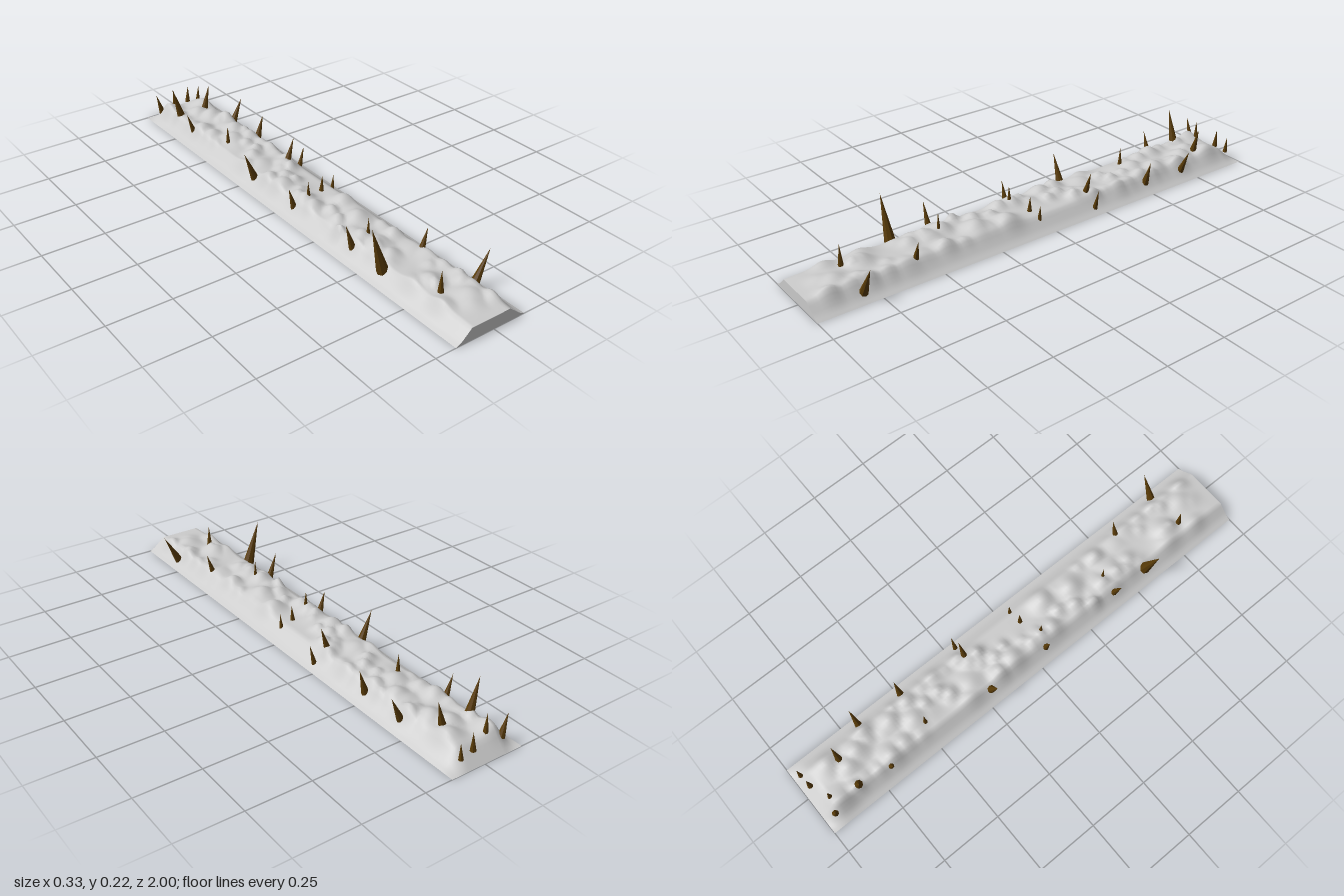
import * as THREE from 'three';

// Cross-section of the bank, from its right foot to its left foot
const profile = [[-0.165, 0], [-0.14, 0.013], [-0.1, 0.05], [0.07, 0.05], [0.115, 0.013], [0.14, 0]];

function profileHeight(x) {
  for (let i = 1; i < profile.length; i++) {
    const [x0, y0] = profile[i - 1], [x1, y1] = profile[i];
    if (x <= x1 + 1e-6) return y0 + (y1 - y0) * (x - x0) / (x1 - x0);
  }
  return 0;
}

function seeded(seed) {
  return () => (seed = (seed * 16807) % 2147483647) / 2147483647;
}

// Rounded lumps of earth scattered along the crest
function makeLumps() {
  const rand = seeded(41), lumps = [], count = 75;
  for (let i = 0; i < count; i++) {
    lumps.push({
      x: -0.1 + 0.175 * rand(), z: -0.92 + 1.86 * (i + rand()) / count,
      r: 0.025 + 0.025 * rand(), h: 0.01 + 0.025 * rand(),
    });
  }
  return lumps;
}

function moundGeometry() {
  const lumps = makeLumps();
  const geo = new THREE.PlaneGeometry(0.305, 2, 28, 150).rotateX(-Math.PI / 2).translate(-0.0125, 0, 0);
  const p = geo.attributes.position;
  for (let i = 0; i < p.count; i++) {
    const x = p.getX(i), z = p.getZ(i);
    const base = profileHeight(x);
    let bump = 0;
    for (const l of lumps) {
      const d = ((x - l.x) ** 2 + (z - l.z) ** 2) / (l.r * l.r);
      bump = Math.max(bump, l.h * Math.exp(-d));
    }
    // The back end slopes down to the ground, the front end is cut off straight
    const slope = Math.min(1, (z + 1) / 0.06);
    const fade = Math.min(1, (1 - z) / 0.05) * Math.min(1, base / 0.05);
    p.setY(i, slope * (base + (bump + 0.003) * fade));
  }
  geo.computeVertexNormals();
  return geo;
}

// Single spikes: base x, tip x, tip y, z, base radius
const singles = [
  [-0.085, -0.125, 0.195, -0.825, 0.02],
  [0.025, 0.055, 0.163, -0.825, 0.017],
  [-0.105, -0.135, 0.13, -0.69, 0.013],
  [0.09, 0.137, 0.132, -0.69, 0.016],
  [-0.06, -0.06, 0.135, -0.49, 0.011],
  [0.088, 0.118, 0.132, -0.495, 0.016],
  [-0.11, -0.156, 0.155, -0.215, 0.017],
  [0.042, 0.078, 0.155, -0.215, 0.016],
  [0.106, 0.128, 0.1, -0.215, 0.011],
  [-0.11, -0.145, 0.145, 0.41, 0.015],
  [-0.043, -0.042, 0.14, 0.41, 0.01],
  [-0.11, -0.165, 0.22, 0.575, 0.024],
  [0.062, 0.09, 0.135, 0.575, 0.014],
  [-0.056, -0.056, 0.14, 0.805, 0.013],
  [0.098, 0.163, 0.143, 0.805, 0.018],
];

// A row of four that occurs twice, with z measured from the row's centre
const row = [
  [-0.113, -0.137, 0.12, 0, 0.014],
  [-0.06, -0.062, 0.135, 0.02, 0.012],
  [0.024, 0.029, 0.115, -0.013, 0.011],
  [0.08, 0.086, 0.1, -0.018, 0.009],
];

function makeSpike([baseX, tipX, tipY, z, radius], material) {
  const base = new THREE.Vector3(baseX, profileHeight(baseX) - 0.008, z);
  const dir = new THREE.Vector3(tipX, tipY, z).sub(base);
  const length = dir.length();
  const geo = new THREE.ConeGeometry(radius, length, 8).translate(0, length / 2, 0);
  const spike = new THREE.Mesh(geo, material);
  spike.position.copy(base);
  spike.quaternion.setFromUnitVectors(new THREE.Vector3(0, 1, 0), dir.normalize());
  spike.name = 'spike';
  return spike;
}

export function createModel() {
  const group = new THREE.Group();
  group.name = 'spikedEarthBank';
  const grey = new THREE.MeshStandardMaterial({ color: 0xcccccc });
  const brown = new THREE.MeshStandardMaterial({ color: 0x5a3c08, flatShading: true });

  const mound = new THREE.Mesh(moundGeometry(), grey);
  mound.name = 'mound';

  // Straight front end
  const section = new THREE.Shape(profile.map(([x, y]) => new THREE.Vector2(x, y)));
  const frontEnd = new THREE.Mesh(new THREE.ShapeGeometry(section).translate(0, 0, 1), grey);
  frontEnd.name = 'frontEnd';

  // Flat underside
  const underside = new THREE.Mesh(
    new THREE.PlaneGeometry(0.305, 2).rotateX(Math.PI / 2).translate(-0.0125, 0, 0), grey);
  underside.name = 'underside';

  const spikes = new THREE.Group();
  spikes.name = 'spikes';
  for (const s of singles) spikes.add(makeSpike(s, brown));
  for (const centre of [-0.953, 0.056]) {
    for (const [baseX, tipX, tipY, z, radius] of row) {
      spikes.add(makeSpike([baseX, tipX, tipY, centre + z, radius], brown));
    }
  }

  group.add(mound, frontEnd, underside, spikes);
  return group;
}
